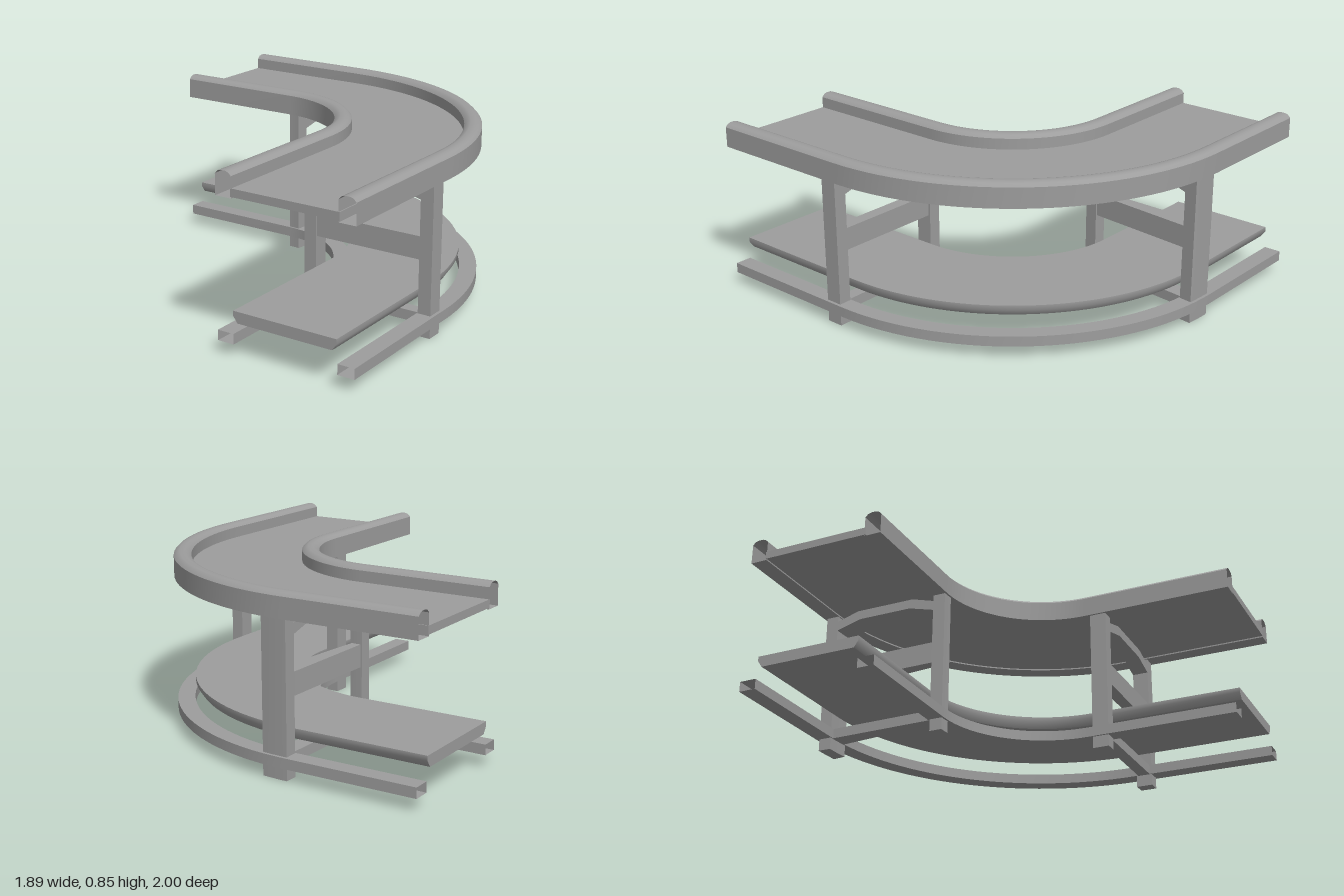
import * as THREE from 'three';
import { toCreasedNormals } from 'three/addons/utils/BufferGeometryUtils.js';

// Centre of the bend, and lateral offsets (radii) of the side rails
const CX = -0.29, CZ = 0.235, HALF_PI = Math.PI / 2;
const INNER = 0.525, OUTER = 1.15, RAIL = 0.085;
const ARC_STEPS = 32;

// Stations along the track: straight (distance), quarter bend (angle), straight
const track = [-0.655];
for (let i = 0; i <= ARC_STEPS; i++) track.push(HALF_PI * i / ARC_STEPS);
track.push(HALF_PI + 0.765);

// Maps lateral offset u and station s to the ground plane
function bend(u, s) {
  if (s < 0) return [CX + s, CZ - u];
  if (s > HALF_PI) return [CX + u, CZ + s - HALF_PI];
  return [CX + u * Math.sin(s), CZ - u * Math.cos(s)];
}

// Dark grey metal
const solid = new THREE.MeshStandardMaterial({ color: 0x9d9d9d });
const open = new THREE.MeshStandardMaterial({ color: 0x9d9d9d, side: THREE.DoubleSide });

// Sweeps a (u, y) profile through the stations; hollow leaves the ends open
function sweep(name, profile, stations, hollow = false) {
  const shape = new THREE.Shape(profile.map(([u, y]) => new THREE.Vector2(u, y)));
  const steps = stations.length - 1;
  let geo = new THREE.ExtrudeGeometry(shape, { depth: 1, steps, bevelEnabled: false });
  if (hollow) {
    const { start, count } = geo.groups[1];
    const sides = geo.attributes.position.array.slice(start * 3, (start + count) * 3);
    geo = new THREE.BufferGeometry();
    geo.setAttribute('position', new THREE.BufferAttribute(sides, 3));
  }
  geo.clearGroups();
  const p = geo.attributes.position;
  for (let i = 0; i < p.count; i++) {
    const [x, z] = bend(p.getX(i), stations[Math.round(p.getZ(i) * steps)]);
    p.setXYZ(i, x, p.getY(i), z);
  }
  const mesh = new THREE.Mesh(toCreasedNormals(geo, 0.7), hollow ? open : solid);
  mesh.name = name;
  return mesh;
}

const rect = (u0, u1, y0, y1) => [[u0, y0], [u1, y0], [u1, y1], [u0, y1]];

// Guard rail section with a chamfered, slightly crowned top
const guard = (u) => [
  [u, 0.73], [u + RAIL, 0.73], [u + RAIL, 0.829], [u + RAIL - 0.014, 0.843],
  [u + RAIL - 0.03, 0.848], [u + 0.03, 0.848], [u + 0.014, 0.843], [u, 0.829],
];

// Support frame: two legs, foot bar, cross beam and angled brace
function supportFrame(name, s0, s1) {
  const frame = new THREE.Group();
  frame.name = name;
  const between = (a, b) => [0, 1, 2, 3].map((i) => s0 + (s1 - s0) * (a + (b - a) * i / 3));
  const full = between(0, 1), slim = between(0.12, 0.88);
  const a = 0.6, b = 1.155;
  frame.add(
    sweep('innerLeg', rect(0.535, a, 0, 0.735), full),
    sweep('outerLeg', rect(b, 1.22, 0, 0.735), full),
    sweep('footBar', rect(a, b, 0.06, 0.11), slim),
    sweep('crossBeam', rect(a, b, 0.365, 0.475), slim),
    sweep('topBrace', [
      [a, 0.65], [a + 0.135, 0.687], [b - 0.135, 0.687], [b, 0.65],
      [b, 0.7], [b - 0.12, 0.735], [a + 0.12, 0.735], [a, 0.7],
    ], full),
  );
  return frame;
}

export function createModel() {
  const model = new THREE.Group();
  model.name = 'curvedConveyor';

  // Carrying deck, and return belt with undercut edges
  model.add(sweep('upperDeck', rect(INNER + RAIL - 0.005, OUTER + 0.005, 0.737, 0.775), track));
  model.add(sweep('lowerBelt', [
    [0.632, 0.165], [1.123, 0.165], [1.145, 0.197], [1.145, 0.22], [0.61, 0.22], [0.61, 0.197],
  ], track));

  // Guard rails above, base rails below
  for (const [side, u] of [['inner', INNER], ['outer', OUTER]]) {
    model.add(sweep(side + 'GuardRail', guard(u), track, true));
    model.add(sweep(side + 'BaseRail', rect(u, u + RAIL, 0.06, 0.11), track, true));
  }

  // One frame at each end of the bend
  model.add(supportFrame('backFrame', 0, 0.108));
  model.add(supportFrame('frontFrame', HALF_PI + 0.026, HALF_PI + 0.11));
  return model;
}
